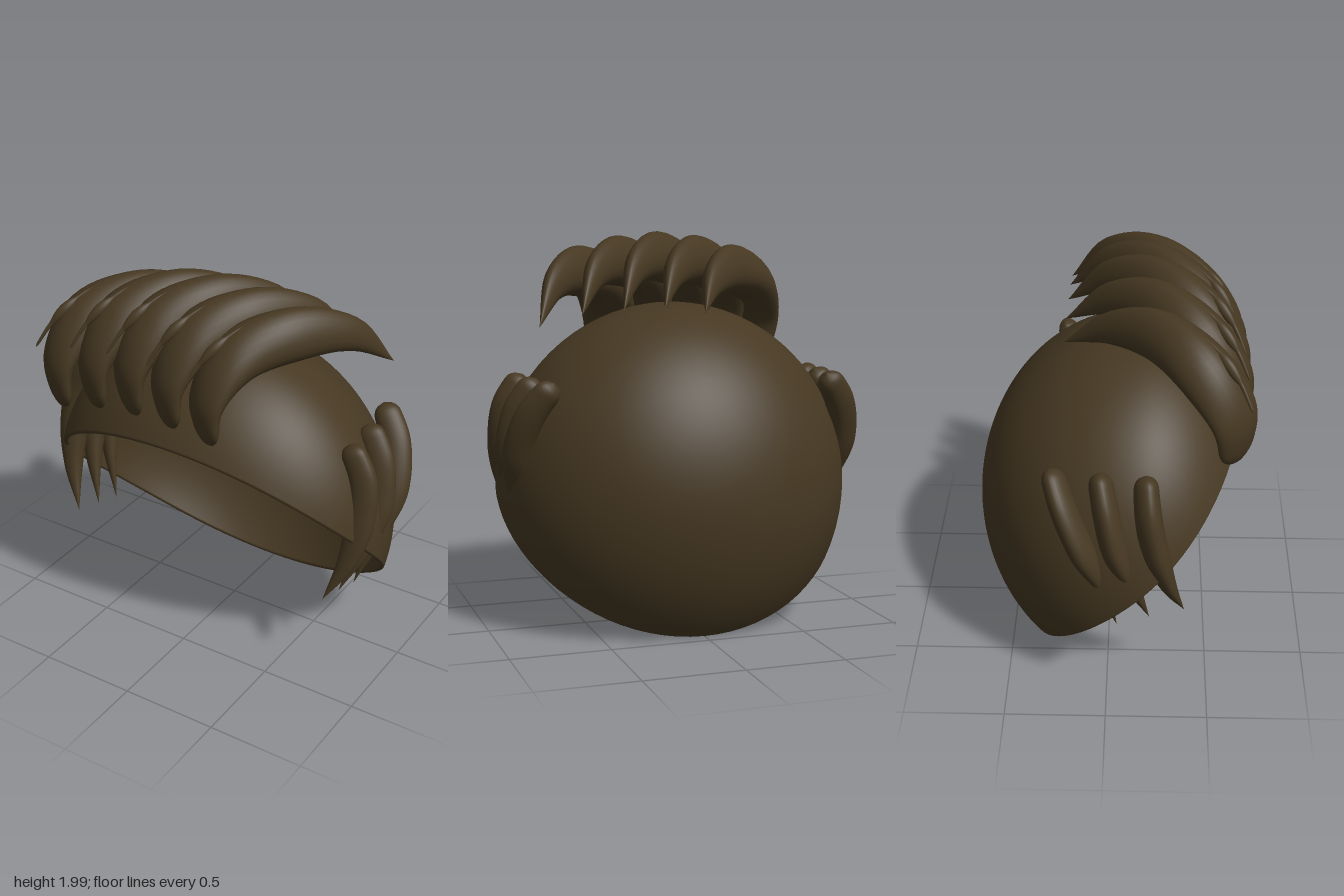
import * as THREE from 'three';
import { mergeGeometries } from 'three/addons/utils/BufferGeometryUtils.js';

const V = (x, y, z) => new THREE.Vector3(x, y, z);

// Smooth surface from rows of points; each row is a closed ring.
function loft(rows, cols, pointAt) {
  const pos = [], idx = [];
  for (let i = 0; i <= rows; i++) {
    for (let j = 0; j < cols; j++) pos.push(...pointAt(i / rows, (j / cols) * Math.PI * 2).toArray());
  }
  for (let i = 0; i < rows; i++) {
    for (let j = 0; j < cols; j++) {
      const k = (j + 1) % cols;
      const a = i * cols + j, b = i * cols + k, c = a + cols, d = b + cols;
      idx.push(a, b, c, b, d, c);
    }
  }
  const g = new THREE.BufferGeometry();
  g.setAttribute('position', new THREE.Float32BufferAttribute(pos, 3));
  g.setIndex(idx);
  g.computeVertexNormals();
  return g;
}

// Tapered lock with a rounded root and a slightly narrowed crest.
// sizes = [half width, half thickness] at each path point.
function lockGeometry(points, sizes, pivot) {
  const path = new THREE.CatmullRomCurve3(points);
  const size = new THREE.CatmullRomCurve3(sizes.map(([w, n]) => V(w, n, 0)));
  return loft(40, 24, (s, a) => {
    const t = s * s * 0.4 + s * 0.6;
    const p = path.getPoint(t), T = path.getTangent(t), r = size.getPoint(t);
    const N = p.clone().sub(pivot);
    N.addScaledVector(T, -N.dot(T)).normalize();
    const S = N.clone().cross(T);
    const round = Math.sqrt(1 - (1 - Math.min(t / 0.08, 1)) ** 2);
    return p.addScaledVector(S, Math.cos(a) * (1 - 0.2 * Math.sin(a)) * Math.max(r.x, 0) * round)
      .addScaledVector(N, Math.sin(a) * Math.max(r.y, 0) * round);
  });
}

// Hollow cap: an ellipsoid cut by a slanted, slightly S-shaped rim with a rounded lip.
function capGeometry() {
  const axis = V(0, 0.647, -0.762), across = V(1, 0, 0), down = V(0, -0.762, -0.647);
  const point = (theta, phi, scale) => {
    const d = axis.clone().multiplyScalar(Math.cos(theta))
      .addScaledVector(across, Math.sin(theta) * Math.cos(phi))
      .addScaledVector(down, Math.sin(theta) * Math.sin(phi));
    return V(0.92 * d.x * scale, 0.7 + (d.y > 0 ? 0.94 : 0.955) * d.y * scale,
      0.13 + (d.z > 0 ? 0.66 : 0.8) * d.z * scale);
  };
  const lip = 0.012, inner = 0.972;
  const rimTheta = (phi) => {
    let lo = 0, hi = Math.PI;
    for (let i = 0; i < 30; i++) {
      const mid = (lo + hi) / 2, p = point(mid, phi, 1);
      const s = (p.y - 0.01) / 1.245;
      if (p.z > -0.42 + 1.08 * s - 0.03 * Math.sin(2 * Math.PI * s)) hi = mid;
      else lo = mid;
    }
    return lo - lip;
  };
  return mergeGeometries([
    loft(40, 80, (t, phi) => point(rimTheta(phi) * (1 - t) + 0.001 * t, phi, 1)),
    loft(40, 80, (t, phi) => point(rimTheta(phi) * t + 0.001 * (1 - t), phi, inner)),
    loft(8, 80, (t, phi) => point(rimTheta(phi) + lip * Math.sin(Math.PI * t), phi,
      1 - (1 - inner) * (1 + Math.cos(Math.PI * t)) / 2)),
  ]);
}

export function createModel() {
  const model = new THREE.Group();
  model.name = 'hair';
  const brown = new THREE.MeshStandardMaterial({ color: 0x463822 });
  brown.name = 'darkBrownHair';
  const add = (name, geometry) => {
    const mesh = new THREE.Mesh(geometry, brown);
    mesh.name = name;
    model.add(mesh);
  };

  add('cap', capGeometry());

  // Five swept fringe locks, each with a fine raised strand.
  const lift = [0.0, 0.05, 0.07, 0.05, 0];
  const rootY = [1.28, 1.33, 1.35, 1.34, 1.31];
  const tipY = [1.6, 1.62, 1.62, 1.6, 1.55];
  for (let i = 0; i < 5; i++) {
    const x = -0.64 + 0.21 * i, y = lift[i], z = 0.02 - 0.007 * i;
    const pivot = V(x + 0.38, 1.35, 0.12);
    add('fringeLock' + (i + 1), lockGeometry(
      [V(x + 0.02, rootY[i], z + 0.59), V(x, 1.53 + y, z + 0.575), V(x + 0.085, 1.73 + y, z + 0.43),
        V(x + 0.26, 1.8 + y, z + 0.24), V(x + 0.44, 1.75 + y, z), V(x + 0.57, tipY[i], -0.225)],
      [[0.11, 0.035], [0.15, 0.07], [0.15, 0.12], [0.11, 0.13], [0.06, 0.085], [0, 0]], pivot));
    add('fineStrand' + (i + 1), lockGeometry(
      [V(x - 0.08, 1.6 + y, z + 0.645), V(x - 0.02, 1.72 + y, z + 0.585),
        V(x + 0.06, 1.83 + y, z + 0.49), V(x + 0.16, 1.91 + y, z + 0.36)],
      [[0.006, 0.006], [0.01, 0.01], [0.01, 0.01], [0, 0]], pivot));
  }

  // Three mirrored side locks that dive through the cap and end in points.
  const sideLocks = [
    { top: [0.765, 1.285, 0.185], z: [0.2, 0.235, 0.3], tip: [0.75, 0.49, 0.38] },
    { top: [0.745, 1.285, -0.035], z: [0, 0.045, 0.125], tip: [0.75, 0.44, 0.21] },
    { top: [0.71, 1.285, -0.265], z: [-0.2, -0.115, -0.02], tip: [0.75, 0.39, 0.05] },
  ];
  for (const [side, name] of [[1, 'left'], [-1, 'right']]) {
    sideLocks.forEach(({ top, z, tip }, i) => {
      const points = [top, [0.85 - 0.015 * i, 1.12, z[0]], [0.866, 0.92, z[1]], [0.835, 0.7, z[2]], tip];
      add(name + 'SideLock' + (i + 1), lockGeometry(
        points.map((p) => V(side * p[0], p[1], p[2])),
        [[0.055, 0.065], [0.063, 0.077], [0.065, 0.077], [0.04, 0.05], [0, 0]],
        V(0, 0.8, 0)));
    });
  }
  return model;
}
